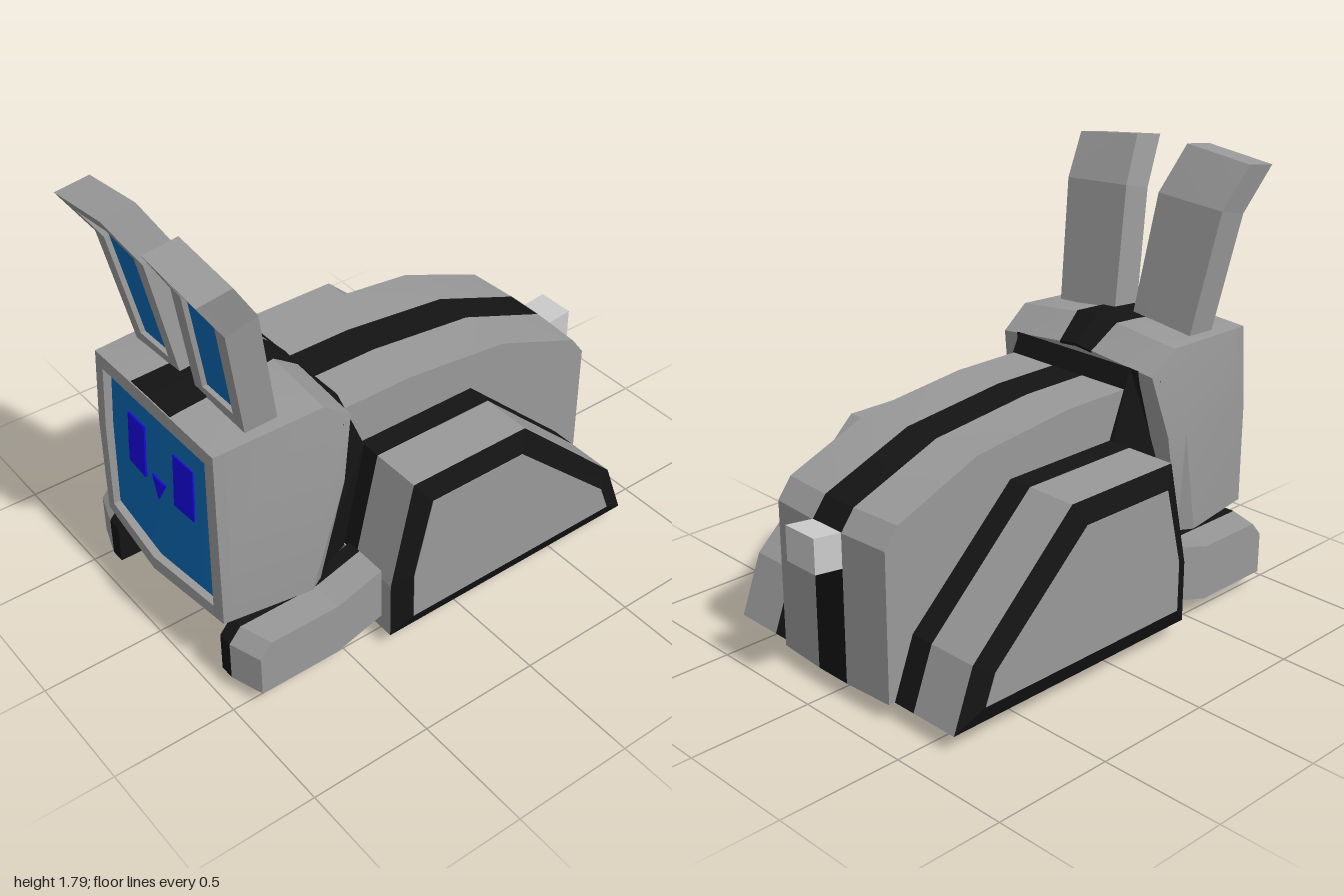
import * as THREE from 'three';
import { toCreasedNormals } from 'three/addons/utils/BufferGeometryUtils.js';

const paint = (color) => new THREE.MeshStandardMaterial({ color });
const grey = paint(0x999999), black = paint(0x141414), blue = paint(0x0a68b2);
const violet = paint(0x1806e3), paleGrey = paint(0xcccccc);

// Moves every vertex by a rule, keeps faces outward, and makes edges crisp
function warp(source, rule, crease = 0.05) {
  const geo = source.index ? source.toNonIndexed() : source;
  const p = geo.attributes.position;
  for (let i = 0; i < p.count; i++) p.setXYZ(i, ...rule(p.getX(i), p.getY(i), p.getZ(i)));
  const a = new THREE.Vector3(), b = new THREE.Vector3(), c = new THREE.Vector3();
  let volume = 0;
  for (let i = 0; i < p.count; i += 3) {
    a.fromBufferAttribute(p, i);
    b.fromBufferAttribute(p, i + 1);
    c.fromBufferAttribute(p, i + 2);
    volume += a.dot(b.cross(c));
  }
  if (volume < 0) {
    for (let i = 0; i < p.count; i += 3) {
      b.fromBufferAttribute(p, i + 1);
      c.fromBufferAttribute(p, i + 2);
      p.setXYZ(i + 1, c.x, c.y, c.z);
      p.setXYZ(i + 2, b.x, b.y, b.z);
    }
  }
  return toCreasedNormals(geo, crease);
}

// Box whose grid lines lie at the given values, bent by a rule
function cell(us, vs, ws, rule, crease) {
  const n = [us, vs, ws].map((list) => list.length - 1);
  const at = (list, k, x) => list[Math.round(x + n[k] / 2)];
  return warp(new THREE.BoxGeometry(...n, ...n),
    (x, y, z) => rule(at(us, 0, x), at(vs, 1, y), at(ws, 2, z)), crease);
}

// Side profile of [z, y] points swept from x0 to x1
function slab(profile, x0, x1, rule = (x, y, z) => [x, y, z], crease) {
  const shape = new THREE.Shape(profile.map(([z, y]) => new THREE.Vector2(z, y)));
  const geo = new THREE.ExtrudeGeometry(shape, { depth: 1, bevelEnabled: false });
  return warp(geo, (z, y, t) => rule(x0 + t * (x1 - x0), y, z), crease);
}

const lerp = THREE.MathUtils.lerp;
// Piecewise linear lookup with nodes at 0, 1, 2
function look(list, t) {
  const i = t < 1 ? 0 : 1;
  return lerp(list[i], list[i + 1], t - i);
}
const look2 = (table, v, w) => look(table.map((row) => look(row, v)), w);

// Head space: u across (-1..1), v up (0..2), w back to front (0..2)
const HEAD_X = [[0.42, 0.44, 0.40], [0.455, 0.455, 0.405], [0.40, 0.40, 0.385]];
const HEAD_Y = [[0.33, 0.76, 1.01], [0.33, 0.76, 1.10], [0.33, 0.76, 1.085]];
const HEAD_Z = [[0.54, 0.44, 0.38], [0.60, 0.53, 0.50], [0.955, 0.955, 0.945]];
const CROWN = [[0, 0, 0.04], [0, 0, 0.045], [0, 0, 0.02]];
const BULGE = [[0, 0, 0], [0, 0, 0], [0.045, 0.02, 0.01]];
function headRule(u, v, w) {
  const mid = 1 - Math.abs(u);
  return [
    u * look2(HEAD_X, v, w),
    look2(HEAD_Y, v, w) + mid * look2(CROWN, v, w),
    look2(HEAD_Z, v, w) + mid * look2(BULGE, v, w),
  ];
}

// Ear space: u inner to outer (0..1), v up (0..2), d back to front (0..1)
const earRule = (side) => (u, v, d) => [
  side * lerp(look([0.045, 0.085, 0.13], v), look([0.345, 0.405, 0.44], v), u),
  lerp(look([1.07, 1.61, 1.795], v), look([1.07, 1.58, 1.775], v), d)
    - u * look([0, 0.02, 0.035], v),
  lerp(look([0.65, 0.75, 0.86], v), look([0.785, 0.88, 1.0], v), d),
];

const BODY = [[0.36, 0.07], [0.50, 0.31], [0.36, 0.95], [0.03, 0.95], [-0.43, 0.90],
  [-0.82, 0.75], [-0.88, 0.67], [-0.88, 0.07]];
const POD = [[0.36, 0.07], [0.36, 0.32], [0.26, 0.76], [-0.27, 0.76], [-0.75, 0.31], [-0.84, 0.07]];
const PANEL = [[0.28, 0.155], [0.28, 0.36], [0.20, 0.68], [-0.23, 0.68], [-0.68, 0.27], [-0.725, 0.155]];
const POD_INSIDE = [[-0.79, 0.07], [-0.71, 0.29], [-0.25, 0.72], [0.23, 0.72], [0.32, 0.31], [0.32, 0.07]];
const LEG = [[0.95, 0.07], [0.95, 0.24], [0.90, 0.30], [0.56, 0.30], [0.36, 0.36], [0.36, 0.13], [0.56, 0.07]];

export function createModel() {
  const model = new THREE.Group();
  const add = (name, geo, mat, parent = model) => {
    const mesh = new THREE.Mesh(geo, mat);
    mesh.name = name;
    parent.add(mesh);
  };
  const group = (name) => {
    const g = new THREE.Group();
    g.name = name;
    model.add(g);
    return g;
  };

  // Striped body, its rear slightly rounded in plan
  const bodyRule = (x, y, z) =>
    [x, y, z < -0.8 ? z + 0.06 * Math.max(0, Math.abs(x) - 0.08) : z];
  add('bodyStripe', slab(BODY, -0.08, 0.08, bodyRule, 0.5), black);
  for (const s of [1, -1]) add('bodySide', slab(BODY, s * 0.08, s * 0.30, bodyRule, 0.5), grey);

  // Tail block, tilted slightly upward
  add('tail', cell([-0.08, 0.08], [0.53, 0.67], [-1, -0.86],
    (x, y, z) => [x, y + (z < -0.9 ? 0.018 : 0), z]), paleGrey);

  // Neck collar, narrowing towards the body
  const NECK = [[0.56, 0.32], [0.42, 0.99], [0.365, 1.03], [0.26, 0.76], [0.35, 0.32]];
  add('neck', slab(NECK, -1, 1, (x, y, z) =>
    [x * (z > 0.4 ? 0.41 : y > 1 ? 0.30 : 0.32), y, z]), black);
  add('chinPlate', cell([-0.30, 0.30], [0.305, 0.335], [0.36, 0.84], (x, y, z) => [x, y, z]), black);

  // Head shell with a raised frame around the face screen
  const head = group('head');
  add('headShell', cell([-1, 0, 1], [0, 1, 2], [0, 1, 1.9], headRule, 0.35), grey, head);
  add('screen', cell([-0.9, 0, 0.9], [0.1, 1, 1.88], [1.85, 1.92], headRule, 0.3), blue, head);
  for (const s of [1, -1])
    add('frameSide', cell([s * 0.865, s], [0, 1, 2], [1.9, 2], headRule, 0.3), grey, head);
  add('frameBottom', cell([-0.865, 0, 0.865], [0, 0.125], [1.9, 2], headRule, 0.3), grey, head);
  add('frameTop', cell([-0.865, 0, 0.865], [1.83, 2], [1.9, 2], headRule, 0.3), grey, head);
  add('headStripe', cell([-1, 0, 1], [1.97, 2.012], [-0.01, 1, 1.99],
    (u, v, w) => headRule(u * look([0.21, 0.26, 0.33], w), v, w)), black, head);

  // Face
  for (const s of [1, -1])
    add('eye', cell([s * 0.24, s * 0.54], [0.81, 1, 1.42], [1.9, 1.935], headRule), violet, head);
  add('nose', cell([-1, 0, 1], [0.02, 1], [1.9, 1.935],
    (u, t, w) => headRule(u * t * 0.112, 0.73 + 0.2 * t, w)), violet, head);

  for (const s of [1, -1]) {
    const side = s > 0 ? 'left' : 'right';

    // Bent ear with a recessed coloured lining
    const ear = group(side + 'Ear');
    const rule = earRule(s);
    add('earBack', cell([0, 1], [0, 1, 2], [0, 0.82], rule), grey, ear);
    add('earLining', cell([0.15, 0.85], [0.1, 1, 1.72], [0.8, 0.85], rule), blue, ear);
    add('earInnerRail', cell([0, 0.19], [0, 1, 2], [0.82, 1], rule), grey, ear);
    add('earOuterRail', cell([0.81, 1], [0, 1, 2], [0.82, 1], rule), grey, ear);
    add('earBottomRail', cell([0.19, 0.81], [0, 0.16], [0.82, 1], rule), grey, ear);
    add('earTopRail', cell([0.19, 0.81], [1.66, 2], [0.82, 1], rule), grey, ear);

    // Front leg with a dark inner side
    const leg = group(side + 'FrontLeg');
    add('legOuter', slab(LEG, s * 0.42, s * 0.555, (x, y, z) =>
      [x, y, z > 0.85 ? z - 0.33 * (Math.abs(x) - 0.42) : z]), grey, leg);
    add('legInner', slab(LEG, s * 0.36, s * 0.42), black, leg);
    add('chestCorner', cell([s * 0.30, s * 0.36], [0.07, 0.33], [0.30, 0.362],
      (x, y, z) => [x, y, z]), grey, leg);

    // Wheel housing, hollow underneath
    const pod = group(side + 'WheelHousing');
    add('innerBand', slab(POD, s * 0.30, s * 0.40), black, pod);
    add('housingShell', slab([...POD, ...POD_INSIDE], s * 0.40, s * 0.61), grey, pod);
    add('innerWall', slab(POD, s * 0.40, s * 0.44), grey, pod);
    add('outerWall', slab(POD, s * 0.575, s * 0.61), grey, pod);
    add('bevelRim', slab(POD, s * 0.61, s * 0.647, (x, y, z) => {
      if (Math.abs(x) < 0.63) return [x, y, z];
      const i = POD.findIndex(([pz, py]) => Math.hypot(pz - z, py - y) < 0.001);
      return [x, PANEL[i][1], PANEL[i][0]];
    }), black, pod);
    add('sidePanel', slab(PANEL, s * 0.62, s * 0.65), grey, pod);

    // Wheels with tapered treads
    const tread = [[0, -0.035], [0.14, -0.035], [0.195, -0.013], [0.195, 0.013], [0.14, 0.035], [0, 0.035]];
    for (const z of [0.07, -0.525]) {
      const geo = new THREE.LatheGeometry(tread.map(([r, h]) => new THREE.Vector2(r, h)), 28);
      add('wheel', warp(geo, (x, y, c) => [s * 0.505 + y, 0.195 + x, z + c], 0.4), black, pod);
    }
  }
  return model;
}
